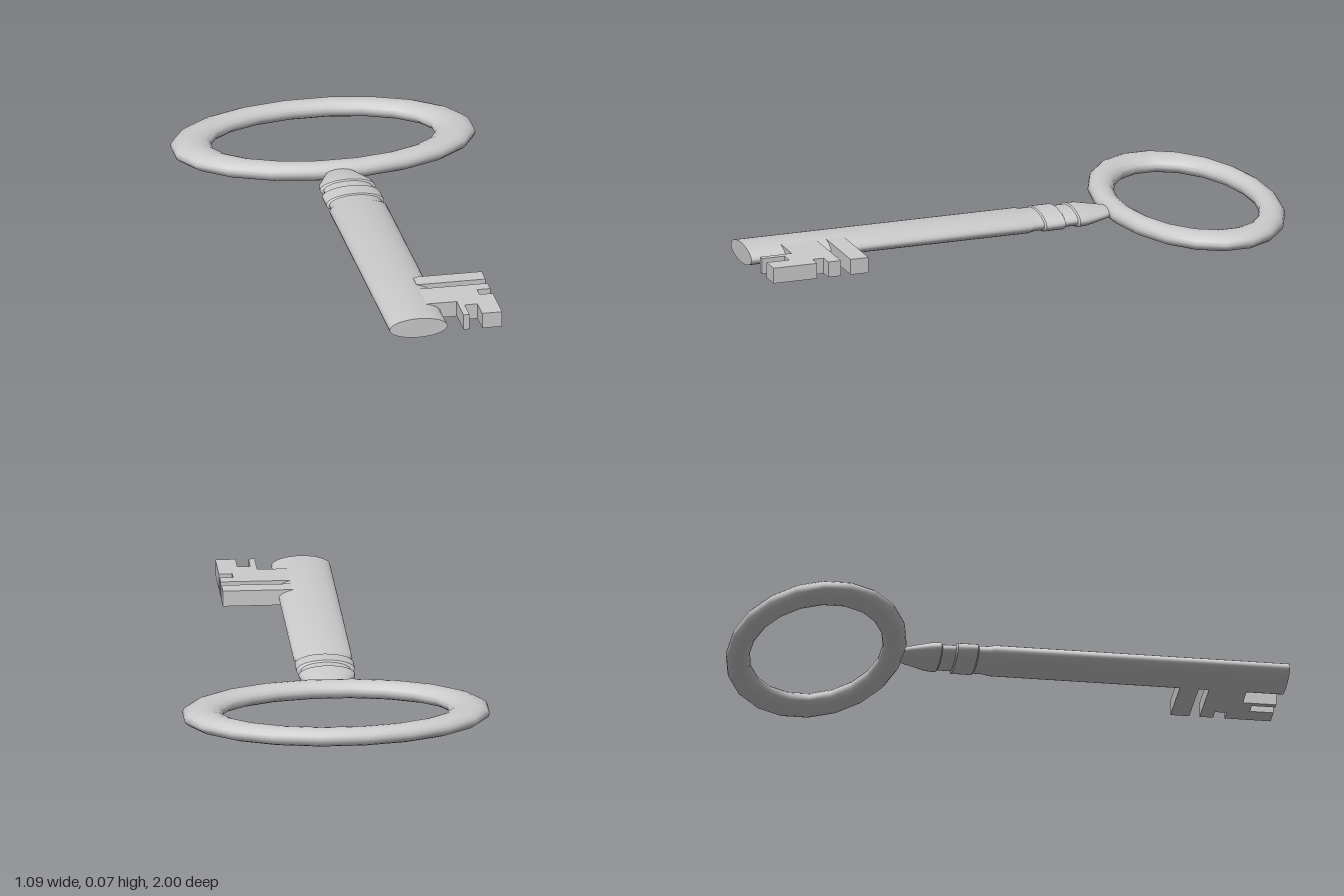
import * as THREE from 'three';
import { toCreasedNormals } from 'three/addons/utils/BufferGeometryUtils.js';

const material = new THREE.MeshStandardMaterial({ color: 0xcccccc });

function addPart(group, name, geometry) {
  const mesh = new THREE.Mesh(geometry, material);
  mesh.name = name;
  group.add(mesh);
}

// Flat plate from an outline of [x, z] points, between two heights
function plate(outline, bottom, top) {
  const shape = new THREE.Shape(outline.map(([x, z]) => new THREE.Vector2(x, z)));
  return new THREE.ExtrudeGeometry(shape, { depth: top - bottom, bevelEnabled: false })
    .rotateX(Math.PI / 2)
    .translate(0, top, 0);
}

export function createModel() {
  const key = new THREE.Group();
  key.name = 'key';

  // Oval bow: a 20-sided ring, flattened and squashed lengthwise
  const bow = new THREE.TorusGeometry(0.478, 0.0735, 16, 20)
    .rotateZ(Math.PI / 20)
    .rotateX(Math.PI / 2)
    .scale(1, 0.456, 0.573)
    .translate(0, 0.0385, -0.6875);
  addPart(key, 'bow', bow);

  // Shaft with tapered neck and collar: [radius, z] profile, turned then flattened
  const profile = [
    [0, -0.385], [0.05, -0.385], [0.06, -0.365], [0.097, -0.285], [0.101, -0.25],
    [0.088, -0.245], [0.088, -0.197], [0.105, -0.192], [0.105, -0.12],
    [0.094, -0.115], [0.096, -0.075], [0.105, -0.06], [0.105, 1], [0, 1],
  ].map(([r, z]) => new THREE.Vector2(r, z));
  const shaft = toCreasedNormals(new THREE.LatheGeometry(profile, 32), 0.6)
    .rotateX(Math.PI / 2)
    .scale(1, 0.345, 1)
    .translate(0, 0.0363, 0);
  addPart(key, 'shaft', shaft);

  // Bit: a plain bar and a notched tooth plate on the left side
  const bar = [[0.055, 0.63], [0.305, 0.63], [0.305, 0.698], [0.055, 0.698]];
  const teeth = [
    [0.055, 0.735], [0.305, 0.735], [0.305, 0.783], [0.257, 0.783],
    [0.257, 0.825], [0.305, 0.825], [0.305, 0.99], [0.233, 0.99],
    [0.233, 0.905], [0.187, 0.905], [0.187, 0.99], [0.165, 0.99],
    [0.165, 0.87], [0.055, 0.87],
  ];
  addPart(key, 'bitBar', plate(bar, 0.011, 0.068));
  addPart(key, 'bitTeeth', plate(teeth, 0.011, 0.068));

  return key;
}
